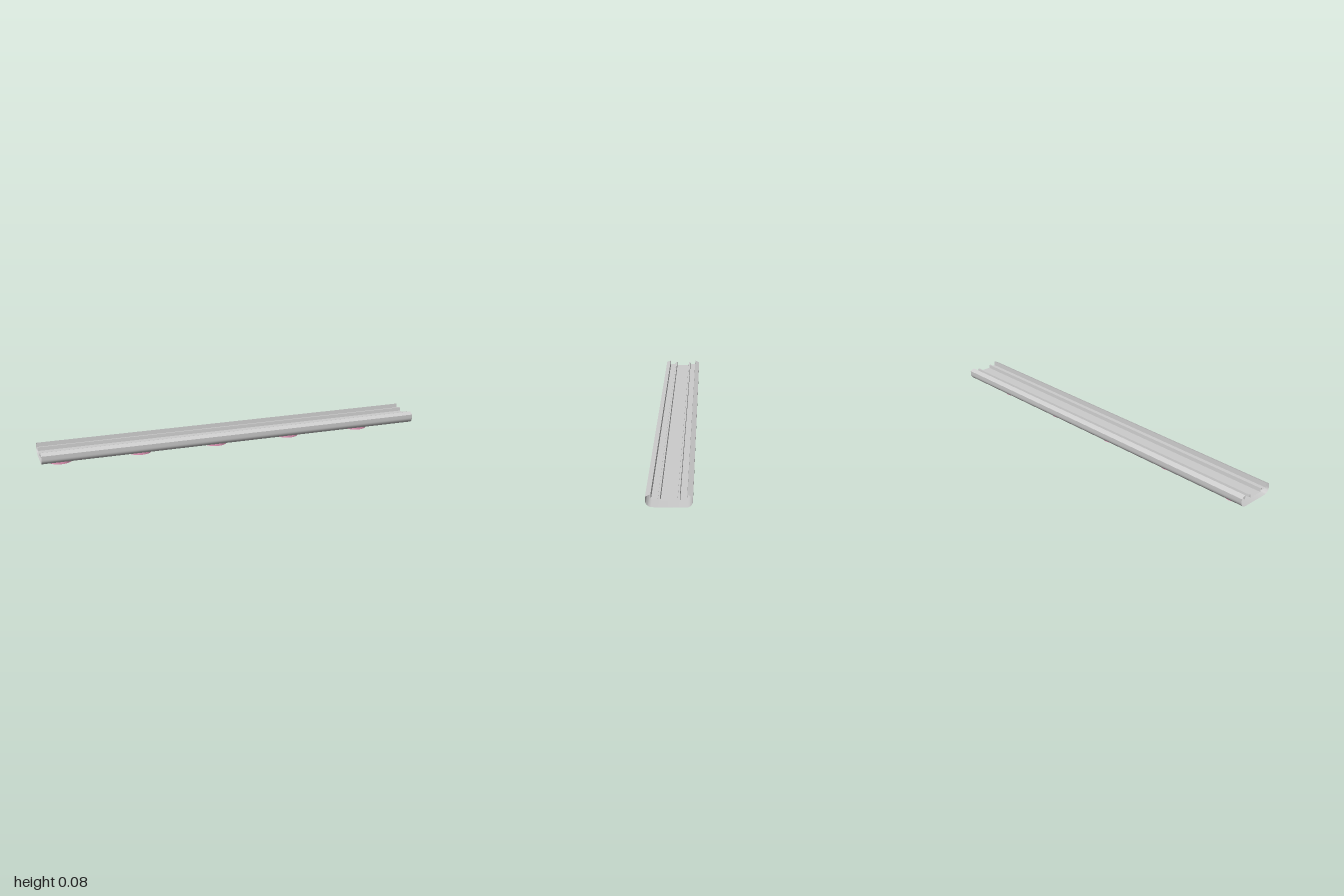
import * as THREE from 'three';
import { toCreasedNormals } from 'three/addons/utils/BufferGeometryUtils.js';

const LENGTH = 2;
const FLOOR = 0.016; // underside of the rail, top of the pads

// Half cross-section [z, y] of the rail, from the bottom centre round to the channel centre
function halfProfile() {
  const pts = [[0, FLOOR]];
  const steps = 8, rz = 0.03, ry = 0.03;
  for (let i = 0; i <= steps; i++) {
    const a = (i / steps) * Math.PI / 2;
    pts.push([0.1 - rz + rz * Math.sin(a), FLOOR + ry - ry * Math.cos(a)]);
  }
  pts.push(
    [0.1, 0.064], [0.077, 0.075],   // sloped lip
    [0.075, 0.052], [0.047, 0.052], // side groove
    [0.045, 0.064], [0.037, 0.064], // rib
    [0.035, 0.046], [0, 0.046],     // middle channel
  );
  return pts;
}

// Hollow extrusion along x, open at both ends
function railGeometry() {
  const half = halfProfile();
  const mirrored = half.slice(1, -1).reverse().map(([z, y]) => [-z, y]);
  const loop = [...half, ...mirrored];
  const pos = [], index = [];
  for (const [z, y] of loop) pos.push(-LENGTH / 2, y, z, LENGTH / 2, y, z);
  for (let i = 0; i < loop.length; i++) {
    const a = 2 * i, b = 2 * ((i + 1) % loop.length);
    index.push(a, b + 1, a + 1, a, b, b + 1);
  }
  // Corners are ordered so the faces look outwards
  for (let i = 0; i < index.length; i += 3) {
    [index[i + 1], index[i + 2]] = [index[i + 2], index[i + 1]];
  }
  const geo = new THREE.BufferGeometry();
  geo.setAttribute('position', new THREE.Float32BufferAttribute(pos, 3));
  geo.setIndex(index);
  return toCreasedNormals(geo, 0.5);
}

export function createModel() {
  const model = new THREE.Group();
  model.name = 'lightRail';

  const grey = new THREE.MeshStandardMaterial({ color: 0xcccccc, side: THREE.DoubleSide });
  const pink = new THREE.MeshStandardMaterial({ color: 0xe69abb });
  const blue = new THREE.MeshStandardMaterial({ color: 0x7488b8 });

  const rail = new THREE.Mesh(railGeometry(), grey);
  rail.name = 'rail';
  model.add(rail);

  // Round fittings under the rail: a ring around a recessed disc
  const R = 0.063, r = 0.052;
  const ringProfile = [[r, 0], [R, 0], [R, FLOOR], [r, FLOOR], [r, 0]]
    .map(([x, y]) => new THREE.Vector2(x, y));
  const ringGeo = toCreasedNormals(new THREE.LatheGeometry(ringProfile, 48), 0.5);
  const discGeo = new THREE.CylinderGeometry(r, r, FLOOR - 0.004, 48);

  for (let i = 0; i < 5; i++) {
    const fitting = new THREE.Group();
    fitting.name = 'fitting' + (i + 1);
    fitting.position.x = -0.9 + 0.4 * i;
    const ring = new THREE.Mesh(ringGeo, pink);
    ring.name = 'ring';
    const disc = new THREE.Mesh(discGeo, blue);
    disc.name = 'disc';
    disc.position.y = (FLOOR + 0.004) / 2;
    fitting.add(ring, disc);
    model.add(fitting);
  }
  return model;
}
